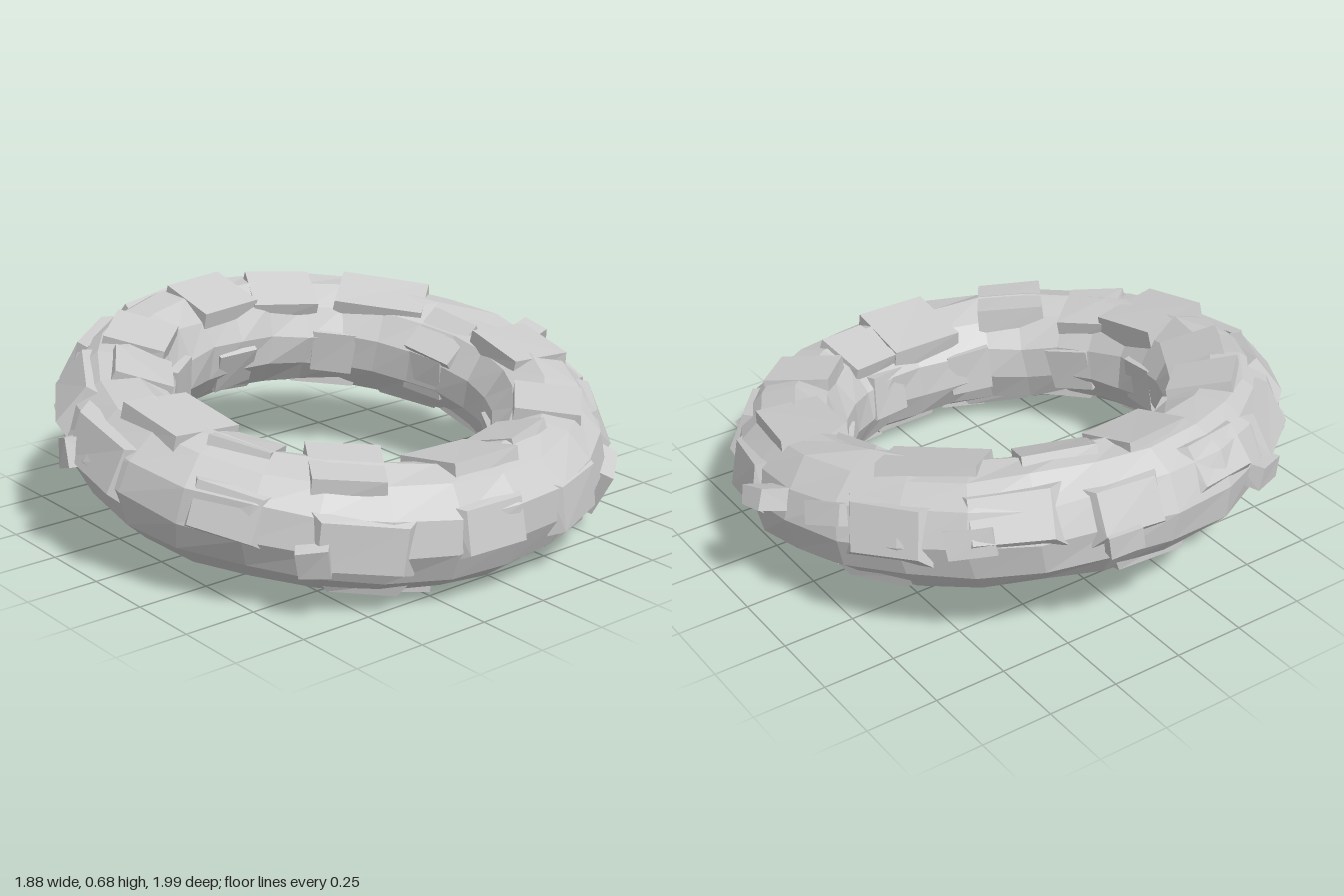
import * as THREE from 'three';
import { mergeVertices } from 'three/addons/utils/BufferGeometryUtils.js';

const R = 0.737, TUBE = 0.201;
const rad = THREE.MathUtils.degToRad;

export function createModel() {
  let seed = 11;
  const rand = () => {
    seed = (seed * 16807) % 2147483647;
    return (seed / 2147483647) * 2 - 1;
  };
  const stone = new THREE.MeshStandardMaterial({ color: 0xcccccc, flatShading: true });

  // Weld a geometry, shrink its upper side and nudge its corners so that it looks hewn
  function hew(geo, amount, taper = 1) {
    geo.deleteAttribute('uv');
    geo.deleteAttribute('normal');
    const g = mergeVertices(geo, 1e-4);
    const p = g.attributes.position;
    for (let i = 0; i < p.count; i++) {
      const s = p.getY(i) > 0 ? taper : 1;
      p.setXYZ(i, p.getX(i) * s + rand() * amount, p.getY(i) + rand() * amount, p.getZ(i) * s + rand() * amount);
    }
    g.computeVertexNormals();
    return g;
  }

  const ring = new THREE.Group();
  ring.name = 'stoneRing';

  // Faceted core of the ring
  const core = new THREE.Mesh(hew(new THREE.TorusGeometry(R, TUBE, 11, 26).rotateX(Math.PI / 2), 0.01), stone);
  core.name = 'ringCore';
  ring.add(core);

  // Block on the tube: u runs round the ring (+x to +z), v round the tube
  // (0 outward, 90 up, 180 inward); its outer face lies at distance d from the tube's centre
  function addBlock(name, u, v, [along, height, across], d, { twist = 0, lean = 0, taper = 1, rough = 0.005 }) {
    const cu = Math.cos(rad(u)), su = Math.sin(rad(u));
    const cv = Math.cos(rad(v)), sv = Math.sin(rad(v));
    const tangent = new THREE.Vector3(-su, 0, cu);
    const normal = new THREE.Vector3(cu * cv, sv, su * cv);
    const side = new THREE.Vector3().crossVectors(tangent, normal);
    const block = new THREE.Mesh(hew(new THREE.BoxGeometry(along, height, across), rough, taper), stone);
    block.name = name;
    block.quaternion.setFromRotationMatrix(new THREE.Matrix4().makeBasis(tangent, normal, side));
    block.rotateX(rad(lean)).rotateY(rad(twist));
    block.position.set(R * cu, 0, R * su).addScaledVector(normal, d - height / 2);
    ring.add(block);
  }

  // Slabs on the upper inner side, leaning out over the hole: u, v, along, across, twist
  [
    [-78, 98, 0.28, 0.23, 2], [-42, 100, 0.22, 0.23, 4], [-19, 122, 0.2, 0.2, -5],
    [3, 118, 0.27, 0.26, 3], [37, 101, 0.24, 0.26, 4], [64, 116, 0.21, 0.2, 8],
    [85, 105, 0.27, 0.26, 0], [117, 114, 0.22, 0.21, -6], [139, 106, 0.23, 0.22, 3],
    [177, 106, 0.25, 0.23, 2], [200, 113, 0.24, 0.2, -3], [232, 107, 0.33, 0.21, 3],
    [258, 138, 0.2, 0.19, -2],
  ].forEach(([u, v, a, c, twist]) => addBlock('topSlab', u, v, [a, 0.1, c], 0.206, { twist, lean: -8, taper: 0.97 }));

  // Broad slabs set flush in the outer side
  [
    [6, 20, 0.28, 0.18], [33, 8, 0.34, 0.2], [60, 22, 0.28, 0.18], [94, 18, 0.36, 0.2],
    [118, 34, 0.34, 0.19], [143, 20, 0.32, 0.2], [166, 30, 0.28, 0.18], [190, 18, 0.26, 0.18],
    [213, 28, 0.32, 0.19], [238, 15, 0.3, 0.2], [283, 15, 0.32, 0.19], [306, 28, 0.28, 0.18],
    [340, 12, 0.3, 0.19],
  ].forEach(([u, v, a, c]) => addBlock('outerSlab', u, v, [a, 0.05, c], 0.196, { twist: rand() * 3, taper: 0.78 }));

  // Slabs lining the hole
  for (let i = 0; i < 9; i++) {
    addBlock('innerSlab', i * 40 + 20 + rand() * 6, 187 + rand() * 12, [0.17, 0.09, 0.17], 0.203,
      { twist: rand() * 5, taper: 0.92 });
  }

  // Slabs set flush in the underside
  for (let i = 0; i < 12; i++) {
    addBlock('underSlab', i * 30 + rand() * 6, 270 + rand() * 35, [0.28, 0.05, 0.19], 0.197,
      { twist: rand() * 4, taper: 0.8 });
  }

  // Small stones standing proud: u, v, along, across, height, d, twist
  [
    [-94, 20, 0.11, 0.07, 0.14, 0.295, 6], [-109, 22, 0.15, 0.08, 0.1, 0.222, 8],
    [-139, 8, 0.16, 0.09, 0.08, 0.21, 5], [-41, -18, 0.18, 0.17, 0.1, 0.22, 6],
    [192, -10, 0.12, 0.08, 0.1, 0.222, 5], [153, -12, 0.15, 0.08, 0.1, 0.23, -8],
    [102, 0, 0.08, 0.1, 0.1, 0.235, 25], [42, -6, 0.11, 0.1, 0.1, 0.23, 12],
    [128, -20, 0.09, 0.08, 0.1, 0.21, 10], [20, -88, 0.17, 0.1, 0.08, 0.212, 8],
    [-14, -92, 0.1, 0.1, 0.08, 0.217, 10],
  ].forEach(([u, v, a, c, h, d, twist]) => addBlock('smallStone', u, v, [a, h, c], d, { twist, taper: 0.95, rough: 0.004 }));

  // The whole ring leans down towards +x
  ring.rotation.z = rad(-9.4);
  ring.position.set(0.003, 0.345, 0.033);

  const model = new THREE.Group();
  model.name = 'tiltedStoneRing';
  model.add(ring);
  return model;
}
